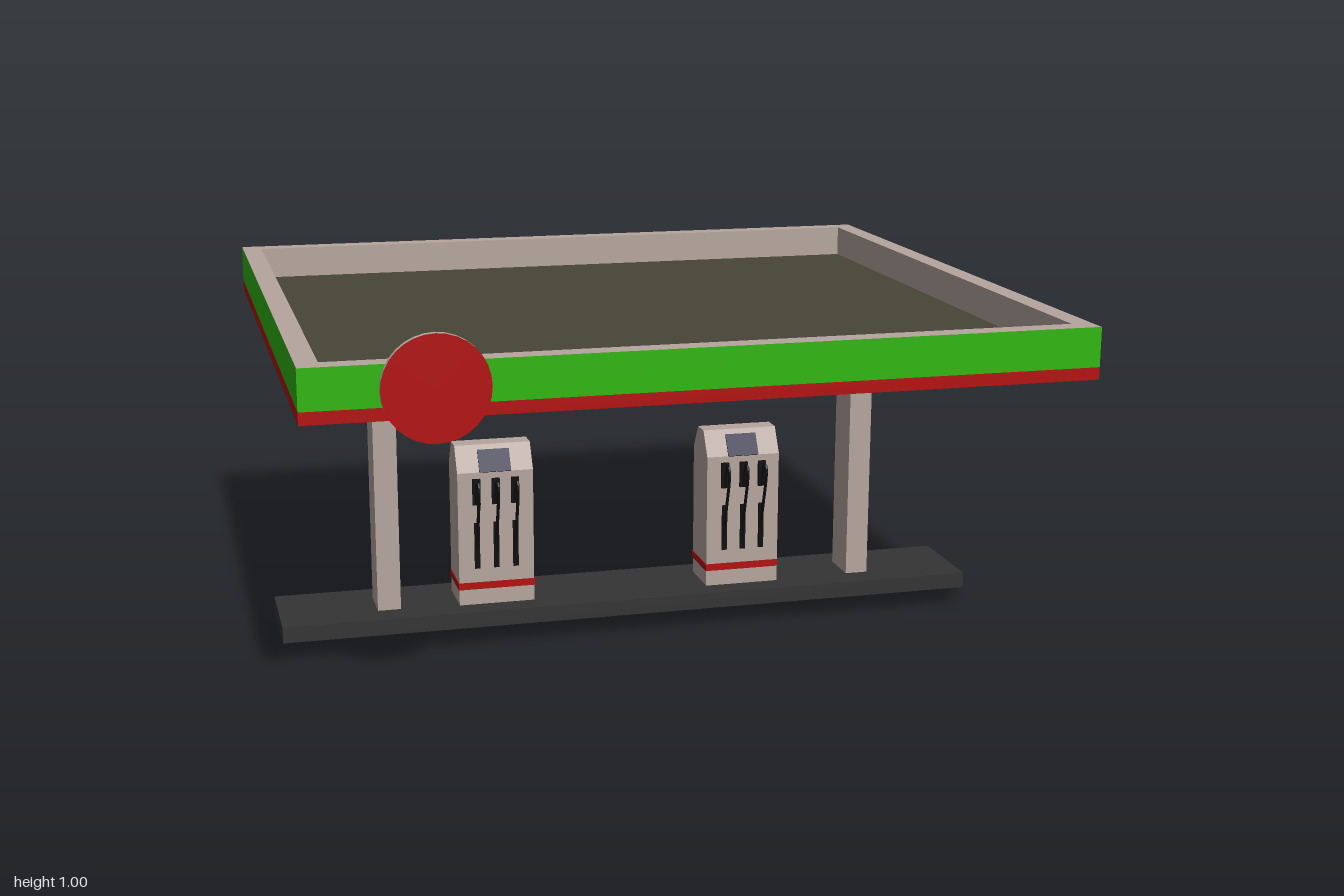
import * as THREE from 'three';

const mat = (color, side = THREE.FrontSide) => new THREE.MeshStandardMaterial({ color, side, flatShading: true });
const M = {
  stone: mat(0xb5a69e), dark: mat(0x343434), roof: mat(0x474536), green: mat(0x30b60f),
  red: mat(0xb31010), black: mat(0x0e0e0e), screen: mat(0x10103c), lamp: mat(0x8c8c8c),
};

function add(parent, name, geometry, material, x = 0, y = 0, z = 0) {
  const mesh = new THREE.Mesh(geometry, material);
  mesh.name = name;
  mesh.position.set(x, y, z);
  parent.add(mesh);
  return mesh;
}

// Box given by its centre in x and z, and its bottom and top heights
const box = (parent, name, material, x, z, w, d, y0, y1) =>
  add(parent, name, new THREE.BoxGeometry(w, y1 - y0, d), material, x, (y0 + y1) / 2, z);

// Flat rectangular ring, lying in the xz plane from y0 to y1
function ring(parent, name, material, x, z, w, d, border, y0, y1) {
  const rect = (T, a, b) => new T([[-a, -b], [a, -b], [a, b], [-a, b]].map(p => new THREE.Vector2(...p)));
  const shape = rect(THREE.Shape, w / 2, d / 2);
  shape.holes.push(rect(THREE.Path, w / 2 - border, d / 2 - border));
  const g = new THREE.ExtrudeGeometry(shape, { depth: y1 - y0, bevelEnabled: false });
  g.rotateX(-Math.PI / 2);
  return add(parent, name, g, material, x, y0, z);
}

function createCanopy() {
  const canopy = new THREE.Group();
  canopy.name = 'canopy';
  const W = 2, D = 1.83, e = 0.002;
  box(canopy, 'ceilingSlab', M.stone, 0, 0, W - e, D - e, 0.8, 0.843);
  box(canopy, 'roofSurface', M.roof, 0, 0, W - 0.1, D - 0.1, 0.843, 0.846);
  ring(canopy, 'parapet', M.stone, 0, 0, W - e, D - e, 0.055, 0.843, 0.935);

  // Coloured fascia stripes on all four sides
  for (const [name, m, y0, y1] of [['redStripe', M.red, 0.8, 0.832], ['greenFascia', M.green, 0.832, 0.935]]) {
    for (let i = 0; i < 4; i++) {
      const across = i % 2 === 0;
      const g = new THREE.PlaneGeometry(across ? W : D, y1 - y0);
      g.translate(0, 0, (across ? D : W) / 2);
      add(canopy, name, g, m, 0, (y0 + y1) / 2, 0).rotation.y = i * Math.PI / 2;
    }
  }

  // Framed ceiling lights
  for (const x of [-0.48, 0.455]) for (const z of [-0.455, 0.52]) {
    ring(canopy, 'lightFrame', M.dark, x, z, 0.585, 0.105, 0.025, 0.78, 0.8);
    box(canopy, 'lightPanel', M.lamp, x, z, 0.54, 0.06, 0.795, 0.8);
  }
  return canopy;
}

function createPump() {
  const pump = new THREE.Group();
  pump.name = 'pump';
  const w = 0.215, h = 0.07, shoulder = 0.43, top = 0.5, topHalf = 0.028;

  // Cabinet: side profile with a sloped head, extruded across the width
  const profile = [[-h, 0.045], [h, 0.045], [h, shoulder], [topHalf, top], [-topHalf, top], [-h, shoulder]];
  const body = new THREE.ExtrudeGeometry(
    new THREE.Shape(profile.map(p => new THREE.Vector2(...p))), { depth: w, bevelEnabled: false });
  body.translate(0, 0, -w / 2);
  body.rotateY(-Math.PI / 2);
  add(pump, 'cabinet', body, M.stone);
  box(pump, 'redBand', M.red, 0, 0, w + 0.004, 2 * h + 0.004, 0.09, 0.11);

  // Hose loop in the yz plane, shared by all nozzles
  const path = new THREE.CatmullRomCurve3([
    [0.16, 0.072], [0.22, 0.075], [0.29, 0.094], [0.365, 0.115], [0.398, 0.117],
    [0.41, 0.103], [0.395, 0.089], [0.34, 0.077],
  ].map(([y, z]) => new THREE.Vector3(0, y, z)));
  const hose = new THREE.TubeGeometry(path, 28, 0.0045, 6);

  for (const turn of [0, Math.PI]) {
    const face = new THREE.Group();
    face.name = 'pumpFace';
    face.rotation.y = turn;
    pump.add(face);
    const slope = Math.atan2(h - topHalf, top - shoulder);
    const display = add(face, 'display', new THREE.BoxGeometry(0.09, 0.066, 0.006), M.screen, 0, 0.458, 0.054);
    display.rotation.x = -slope;
    for (const x of [-0.055, 0, 0.055]) {
      box(face, 'nozzle', M.black, x, h + 0.003, 0.022, 0.012, 0.338, 0.412);
      box(face, 'hoseHolder', M.black, x, h + 0.002, 0.015, 0.008, 0.152, 0.285);
      add(face, 'hose', hose, M.black, x);
    }
  }
  return pump;
}

export function createModel() {
  const model = new THREE.Group();
  model.name = 'fuelStation';
  const station = new THREE.Group();
  station.name = 'station';
  station.position.z = -0.01;
  model.add(station);

  box(station, 'island', M.dark, 0, 0, 2, 0.276, 0, 0.045);
  for (const x of [-0.696, 0.692]) box(station, 'column', M.stone, x, 0, 0.065, 0.118, 0.045, 0.8);
  for (const x of [-0.391, 0.333]) {
    const pump = createPump();
    pump.position.x = x;
    station.add(pump);
  }
  station.add(createCanopy());

  // Round sign on the front fascia
  const disc = new THREE.CylinderGeometry(0.131, 0.131, 0.017, 32);
  disc.rotateX(Math.PI / 2);
  add(model, 'roundSign', disc, [M.stone, M.red, M.red], -0.682, 0.874, 0.9165);
  return model;
}
